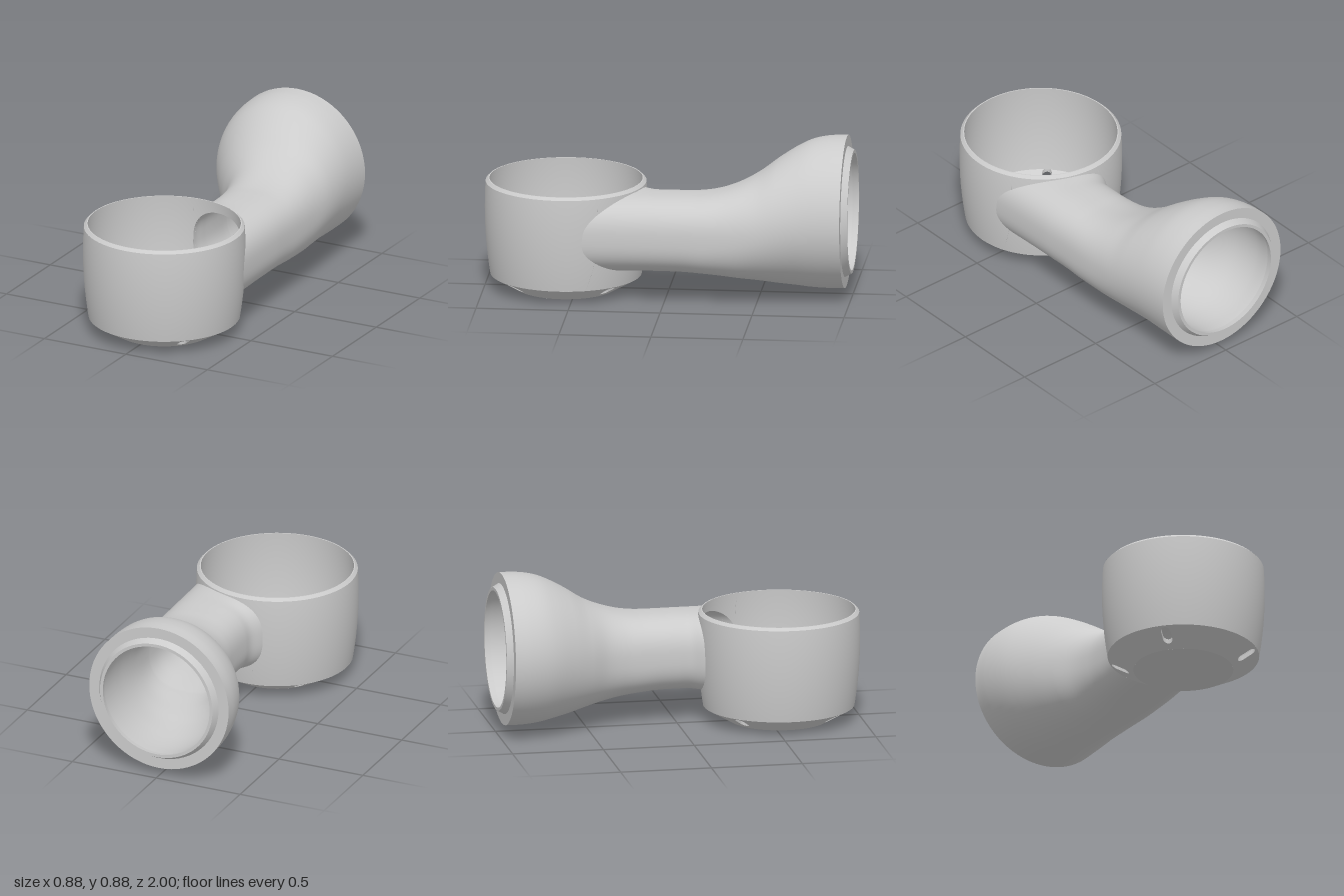
import * as THREE from 'three';
import { toCreasedNormals } from 'three/addons/utils/BufferGeometryUtils.js';
import { ParametricGeometry } from 'three/addons/geometries/ParametricGeometry.js';

const CUP_Z = 0.56; // cup axis
const FLOOR_R = 0.27, BASE_R = 0.41, BASE_Y = 0.08, SKIN = 0.025;
const TOP_Y = 0.595;

// gently barrelled cup wall
const outerR = (y) => 0.44 - 0.03 * ((0.45 - y) / 0.37) ** 2;
const innerR = (y) => outerR(y) - 0.02;

// arm sections: z, left edge, right edge, bottom, top, squareness
const ROWS = [
  [-0.965, -0.415, 0.415, 0.045, 0.875, 2],
  [-0.87, -0.41, 0.415, 0.045, 0.872, 2],
  [-0.78, -0.39, 0.415, 0.052, 0.855, 2],
  [-0.7, -0.355, 0.415, 0.065, 0.82, 2],
  [-0.6, -0.29, 0.414, 0.083, 0.76, 2.05],
  [-0.5, -0.215, 0.412, 0.105, 0.69, 2.15],
  [-0.4, -0.14, 0.41, 0.124, 0.64, 2.3],
  [-0.3, -0.1, 0.41, 0.142, 0.606, 2.45],
  [-0.2, -0.081, 0.41, 0.155, 0.588, 2.6],
  [-0.1, -0.072, 0.41, 0.163, 0.585, 2.6],
  [0, -0.07, 0.412, 0.165, 0.585, 2.6],
  [0.07, -0.074, 0.415, 0.165, 0.585, 2.6],
  [0.13, -0.11, 0.42, 0.16, 0.588, 2.6],
];
const END_Z = 0.13;
const curveOf = (a, b, c) => new THREE.CatmullRomCurve3(
  ROWS.map((r) => new THREE.Vector3(r[a], r[b], r[c])), false, 'catmullrom', 0.5);
const sides = curveOf(1, 2, 0), heights = curveOf(3, 4, 5);

// bore where it breaks into the cup
const BORE = { cx: 0.17, cy: 0.375, a: 0.215, b: 0.18, n: 2.6 };
const signedPow = (c, p) => Math.sign(c) * Math.abs(c) ** p;

// tube skin; the cup end is trimmed to the curve of the cup wall
function armSurface(isBore) {
  return (u, v, target) => {
    const s = sides.getPoint(v), h = heights.getPoint(v);
    const ang = u * Math.PI * 2;
    let cx = (s.x + s.y) / 2, cy = (h.x + h.y) / 2;
    let a = (s.y - s.x) / 2, b = (h.y - h.x) / 2;
    if (isBore) {
      const inset = THREE.MathUtils.lerp(0.09, 0.03, Math.min(1, v / 0.6));
      a -= inset;
      b -= inset;
      const k = THREE.MathUtils.smoothstep(v, 0.75, 1);
      cx += (BORE.cx - cx) * k;
      cy += (BORE.cy - cy) * k;
      a += (BORE.a - a) * k;
      b += (BORE.b - b) * k;
    }
    const x = cx + a * signedPow(Math.cos(ang), 2 / h.z);
    const y = cy + b * signedPow(Math.sin(ang), 2 / h.z);
    const R = isBore ? innerR(y) : outerR(y) - 0.002;
    const reach = CUP_Z - Math.sqrt(Math.max(0, R * R - x * x));
    const z = s.z <= 0 ? s.z : (s.z / END_Z) * reach;
    target.set(x, y, z);
  };
}

// main cup wall, running round from one side of the opening to the other
function wallSurface(radius, y0, y1) {
  return (u, v, target) => {
    const y = y0 + (y1 - y0) * v, R = radius(y);
    const from = -Math.PI - Math.asin((BORE.cx - BORE.a) / R) + Math.PI * 2;
    const to = Math.PI * 3 - Math.asin((BORE.cx + BORE.a) / R);
    const t = from + (to - from) * u;
    target.set(R * Math.sin(t), y, CUP_Z + R * Math.cos(t));
  };
}

// wall above (sign 1) or below (sign -1) the opening
function lintelSurface(radius, edgeY, sign) {
  return (u, v, target) => {
    const c = -Math.cos(Math.PI * u);
    const x = BORE.cx + BORE.a * c;
    const rise = BORE.b * Math.max(0, 1 - Math.abs(c) ** BORE.n) ** (1 / BORE.n);
    const y = THREE.MathUtils.lerp(BORE.cy + sign * rise, edgeY, v);
    const R = radius(y);
    target.set(x, y, CUP_Z - Math.sqrt(Math.max(0, R * R - x * x)));
  };
}

export function createModel() {
  const group = new THREE.Group();
  const material = new THREE.MeshStandardMaterial({ color: 0xcccccc, side: THREE.DoubleSide });
  const add = (name, geometry, z = 0, y = 0) => {
    const mesh = new THREE.Mesh(geometry, material);
    mesh.name = name;
    mesh.position.set(0, y, z);
    group.add(mesh);
    return mesh;
  };
  const lathe = (points, segs, start = 0, length = Math.PI * 2) => toCreasedNormals(
    new THREE.LatheGeometry(points.map((p) => new THREE.Vector2(...p)), segs, start, length), 0.4);

  // cup walls with the opening into the arm
  for (const [name, radius, y0, y1] of [
    ['cupOuterWall', outerR, BASE_Y, TOP_Y],
    ['cupInnerWall', innerR, 0.095, 0.61],
  ]) {
    add(name, new ParametricGeometry(wallSurface(radius, y0, y1), 72, 14));
    add(name + 'AboveOpening', new ParametricGeometry(lintelSurface(radius, y1, 1), 40, 6));
    add(name + 'BelowOpening', new ParametricGeometry(lintelSurface(radius, y0, -1), 40, 6));
  }
  add('cupRim', lathe([[outerR(TOP_Y), TOP_Y], [0.42, 0.61], [innerR(0.61), 0.61]], 96), CUP_Z);

  // floor and sloping base ring
  add('cupFloor', new THREE.CylinderGeometry(FLOOR_R, FLOOR_R, SKIN, 96), CUP_Z, SKIN / 2);
  const half = THREE.MathUtils.degToRad(6);
  const ring = [[FLOOR_R, 0], [BASE_R, BASE_Y], [BASE_R, BASE_Y + SKIN], [FLOOR_R, SKIN], [FLOOR_R, 0]];

  // slotted pieces of the base ring
  const shape = new THREE.Shape();
  shape.absarc(0, 0, BASE_R, -half, half, false);
  shape.absarc(0, 0, FLOOR_R, half, -half, true);
  const slot = new THREE.Path(), w = 0.026;
  slot.absarc(0.4 - w, 0, w, -Math.PI / 2, Math.PI / 2, false);
  slot.absarc(0.305 + w, 0, w, Math.PI / 2, Math.PI * 1.5, false);
  shape.holes.push(slot);
  const slotted = new THREE.ExtrudeGeometry(shape, { depth: SKIN, bevelEnabled: false, curveSegments: 10 });
  slotted.rotateX(-Math.PI / 2);
  const pos = slotted.attributes.position;
  for (let i = 0; i < pos.count; i++) {
    const r = Math.hypot(pos.getX(i), pos.getZ(i));
    pos.setY(i, pos.getY(i) + (BASE_Y * (r - FLOOR_R)) / (BASE_R - FLOOR_R));
  }
  slotted.computeVertexNormals();

  for (let k = 0; k < 4; k++) {
    const angle = Math.PI / 4 + (k * Math.PI) / 2;
    add('baseRing', lathe(ring, 20, angle + half, Math.PI / 2 - 2 * half), CUP_Z);
    add('baseSlot', slotted, CUP_Z).rotation.y = angle;
  }

  // hollow arm
  add('armOuter', new ParametricGeometry(armSurface(false), 72, 60));
  add('armBore', new ParametricGeometry(armSurface(true), 72, 60));

  // collar on the flared end
  const collar = lathe(
    [[0.415, 0.965], [0.355, 0.965], [0.335, 1], [0.318, 1], [0.325, 0.965]], 72);
  collar.rotateX(-Math.PI / 2);
  add('endCollar', collar, 0, 0.46);
  return group;
}
